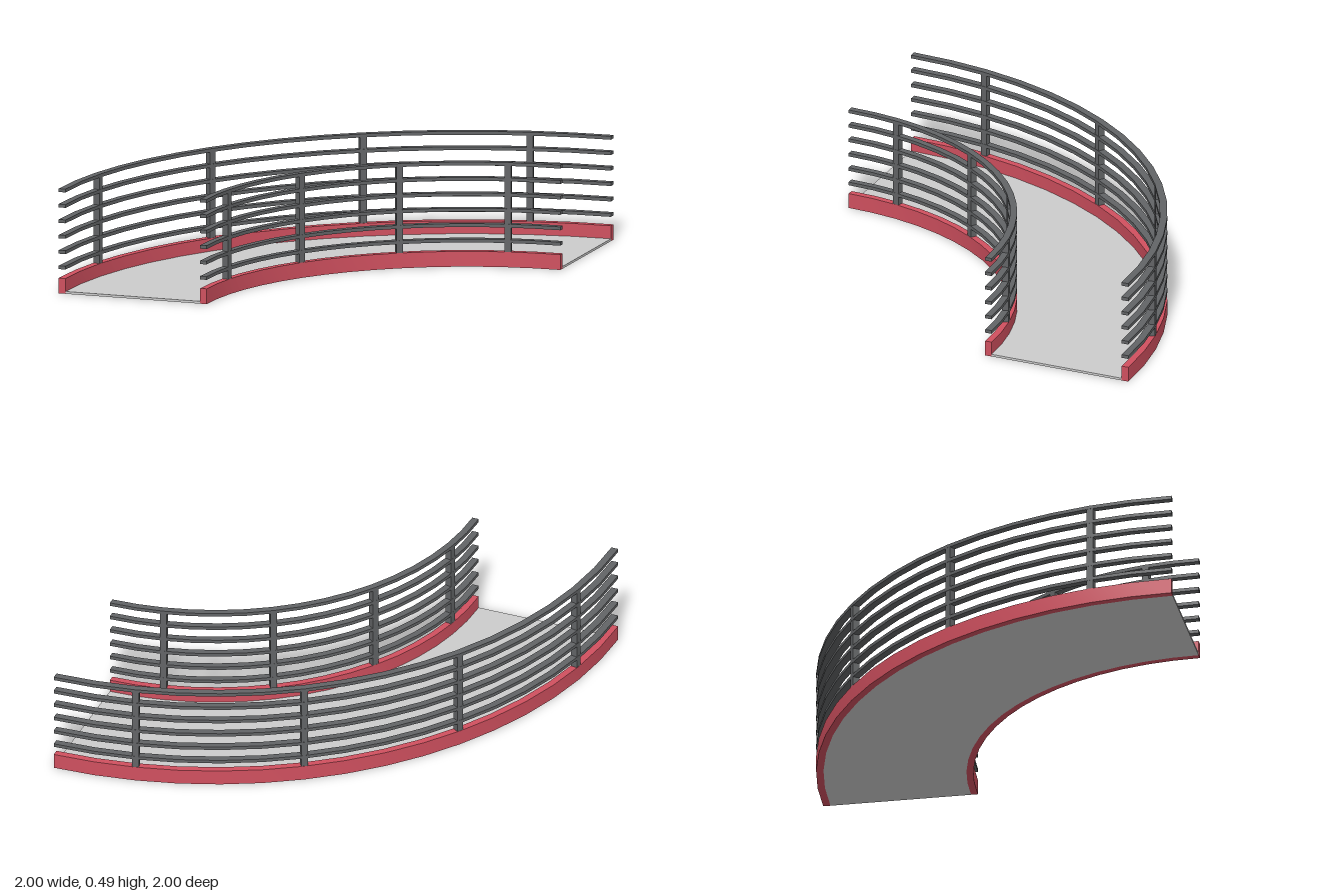
import * as THREE from 'three';
import { toCreasedNormals } from 'three/addons/utils/BufferGeometryUtils.js';

const SEGMENTS = 16;
const INNER = [1.275, 1.307];
const OUTER = [1.966, 2];

const red = new THREE.MeshStandardMaterial({ color: 0xd0505f });
const dark = new THREE.MeshStandardMaterial({ color: 0x626466 });
const light = new THREE.MeshStandardMaterial({ color: 0xcccccc });

// Quarter ring around the corner (1, 1), between two radii and two heights
function quarterRing(name, [r0, r1], y0, y1, material) {
  const arc = (r) => Array.from({ length: SEGMENTS + 1 }, (_, i) => {
    const a = (i / SEGMENTS) * Math.PI / 2;
    return new THREE.Vector2(1 - r * Math.cos(a), -1 + r * Math.sin(a));
  });
  const shape = new THREE.Shape([...arc(r0), ...arc(r1).reverse()]);
  const geometry = new THREE.ExtrudeGeometry(shape, { depth: y1 - y0, bevelEnabled: false });
  geometry.rotateX(-Math.PI / 2).translate(0, y0, 0);
  const mesh = new THREE.Mesh(toCreasedNormals(geometry, 0.4), material);
  mesh.name = name;
  return mesh;
}

// Curb with posts and six curved rails
function railing(side, radii) {
  const group = new THREE.Group();
  group.name = side + 'Railing';
  group.add(quarterRing(side + 'Curb', radii, 0, 0.072, red));

  for (let i = 0; i < 6; i++) {
    const y = 0.122 + i * 0.0726;
    group.add(quarterRing(side + 'Rail', radii, y - 0.008, y + 0.008, dark));
  }

  const r = (radii[0] + radii[1]) / 2;
  for (let i = 0; i < 4; i++) {
    const a = (i + 0.5) * Math.PI / 8;
    const post = new THREE.Mesh(new THREE.BoxGeometry(0.031, 0.415, 0.031), dark);
    post.name = side + 'Post';
    post.position.set(1 - r * Math.cos(a), 0.2795, 1 - r * Math.sin(a));
    post.rotation.y = -a;
    group.add(post);
  }
  return group;
}

export function createModel() {
  const model = new THREE.Group();
  model.name = 'curvedWalkway';
  model.add(quarterRing('deck', [INNER[1], OUTER[0]], 0, 0.011, light));
  model.add(railing('inner', INNER), railing('outer', OUTER));
  return model;
}
